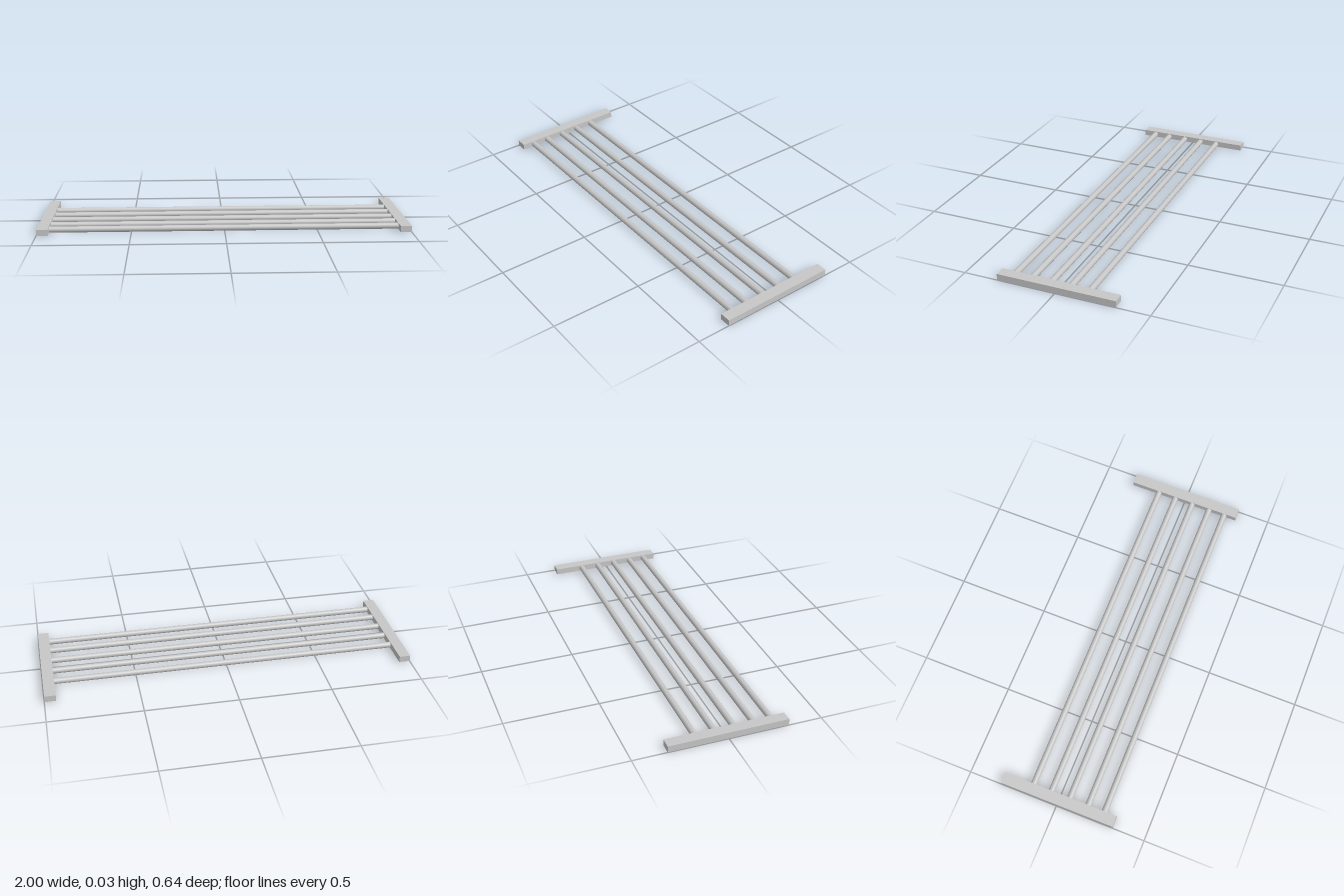
import * as THREE from 'three';

export function createModel() {
  const frame = new THREE.Group();
  frame.name = 'frame';
  const grey = new THREE.MeshStandardMaterial({ color: 0xc6c6c6 });
  grey.name = 'lightGrey';

  const addPart = (name, geometry, x, y, z) => {
    const mesh = new THREE.Mesh(geometry, grey);
    mesh.name = name;
    mesh.position.set(x, y, z);
    frame.add(mesh);
    return mesh;
  };

  // End rails
  const railGeometry = new THREE.BoxGeometry(0.06, 0.034, 0.64);
  addPart('leftRail', railGeometry, 0.969, 0.019, 0);
  addPart('rightRail', railGeometry, -0.969, 0.019, 0);

  // Five long round bars between the rails, rising very slightly towards +x
  const barGeometry = new THREE.CylinderGeometry(0.0165, 0.0165, 1.88, 16).rotateZ(Math.PI / 2);
  [-0.158, -0.055, 0.05, 0.155, 0.249].forEach((z, i) => {
    addPart(`bar${i + 1}`, barGeometry, 0, 0.0185, z).rotation.z = 0.001;
  });

  // The whole frame sits slightly turned
  frame.rotation.y = 0.0025;
  const model = new THREE.Group();
  model.name = 'rack';
  model.add(frame);
  return model;
}
